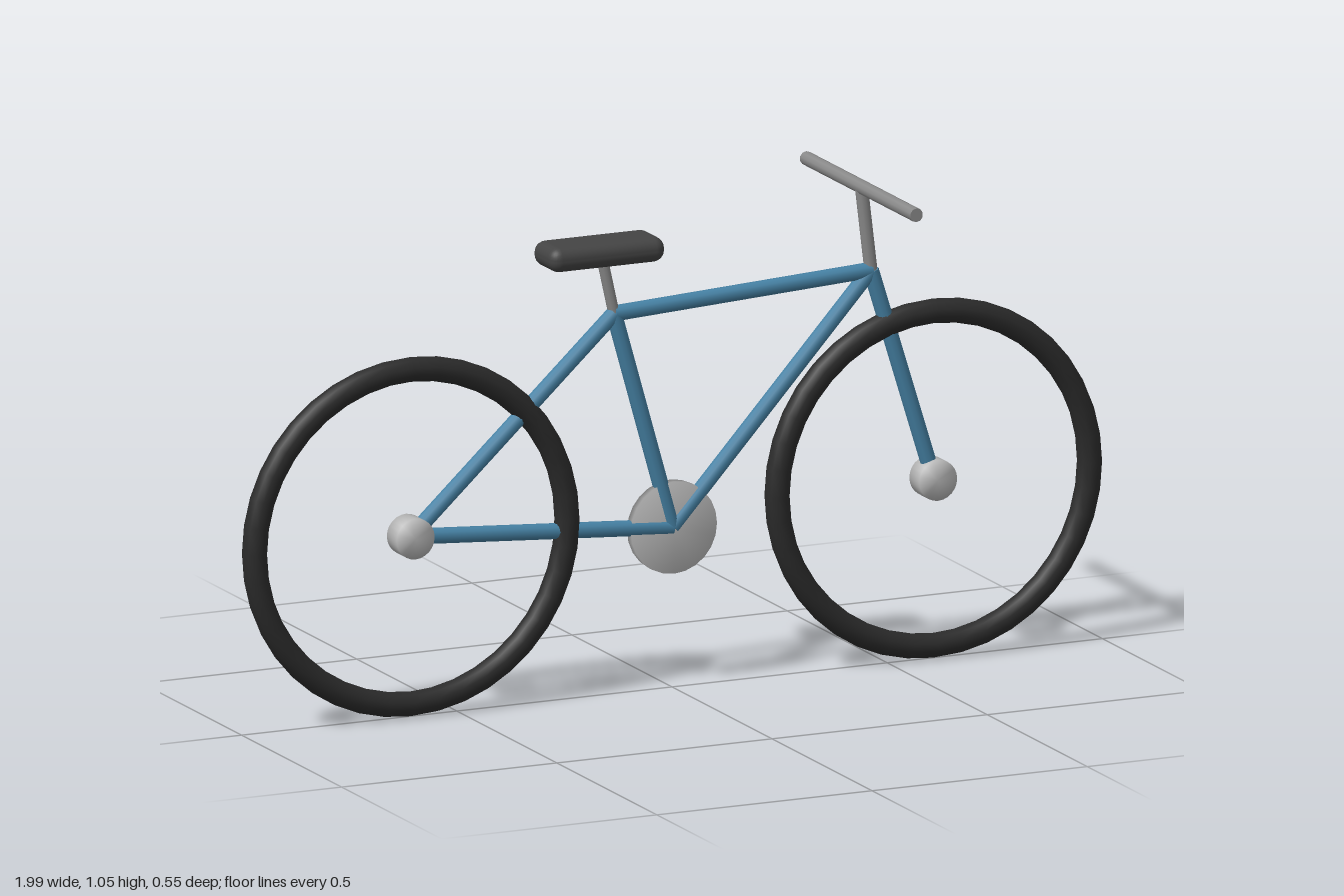
import * as THREE from 'three';
import { mergeVertices } from 'three/addons/utils/BufferGeometryUtils.js';
import { RoundedBoxGeometry } from 'three/addons/geometries/RoundedBoxGeometry.js';

const paint = (color) => new THREE.MeshStandardMaterial({ color });

export function createModel() {
  const bike = new THREE.Group();
  bike.name = 'bicycle';
  const rubber = paint(0x2b2b2b), blue = paint(0x4682a5), steel = paint(0x8a8a8a);
  const silver = paint(0xbbbbbb), leather = paint(0x444444);

  const add = (name, geometry, material, x = 0, y = 0, z = 0) => {
    const mesh = new THREE.Mesh(geometry, material);
    mesh.name = name;
    mesh.position.set(x, y, z);
    bike.add(mesh);
    return mesh;
  };

  // round bar between two points
  const bar = (name, from, to, radius, material) => {
    const a = new THREE.Vector3(...from), b = new THREE.Vector3(...to);
    const dir = b.clone().sub(a);
    const mesh = add(name, new THREE.CylinderGeometry(radius, radius, dir.length(), 10), material);
    mesh.position.copy(a).add(b).multiplyScalar(0.5);
    mesh.quaternion.setFromUnitVectors(new THREE.Vector3(0, 1, 0), dir.normalize());
  };

  // disc across z, with normals blended over its rim
  const disc = (name, radius, width, x, y) => {
    const g = new THREE.CylinderGeometry(radius, radius, width, 24).rotateX(Math.PI / 2);
    g.deleteAttribute('normal');
    g.deleteAttribute('uv');
    const smooth = mergeVertices(g);
    smooth.computeVertexNormals();
    add(name, smooth, silver, x, y);
  };

  const rear = [-0.607, 0.395, 0], front = [0.607, 0.395, 0];
  const crank = [0, 0.353, 0], seatTop = [-0.135, 0.83, 0], head = [0.462, 0.862, 0];

  // wheels
  for (const [side, [x, y]] of [['rear', rear], ['front', front]]) {
    add(side + 'Tyre', new THREE.TorusGeometry(0.363, 0.027, 10, 40), rubber, x, y);
    disc(side + 'Hub', 0.044, 0.05, x, y);
  }
  disc('chainring', 0.1, 0.02, crank[0], crank[1]);

  // frame
  const frame = {
    seatTube: [crank, seatTop], topTube: [seatTop, head], downTube: [crank, head],
    chainStay: [rear, crank], seatStay: [rear, seatTop], fork: [head, front],
  };
  for (const [name, [a, b]] of Object.entries(frame)) bar(name, a, b, 0.017, blue);

  // saddle and steering
  bar('seatPost', seatTop, [-0.159, 0.938, 0], 0.012, steel);
  add('saddle', new RoundedBoxGeometry(0.268, 0.054, 0.11, 3, 0.025), leather, -0.169, 0.969);
  bar('stem', head, [0.44, 1.045, 0], 0.014, steel);
  bar('handlebar', [0.44, 1.045, -0.276], [0.44, 1.045, 0.276], 0.015, steel);

  return bike;
}
